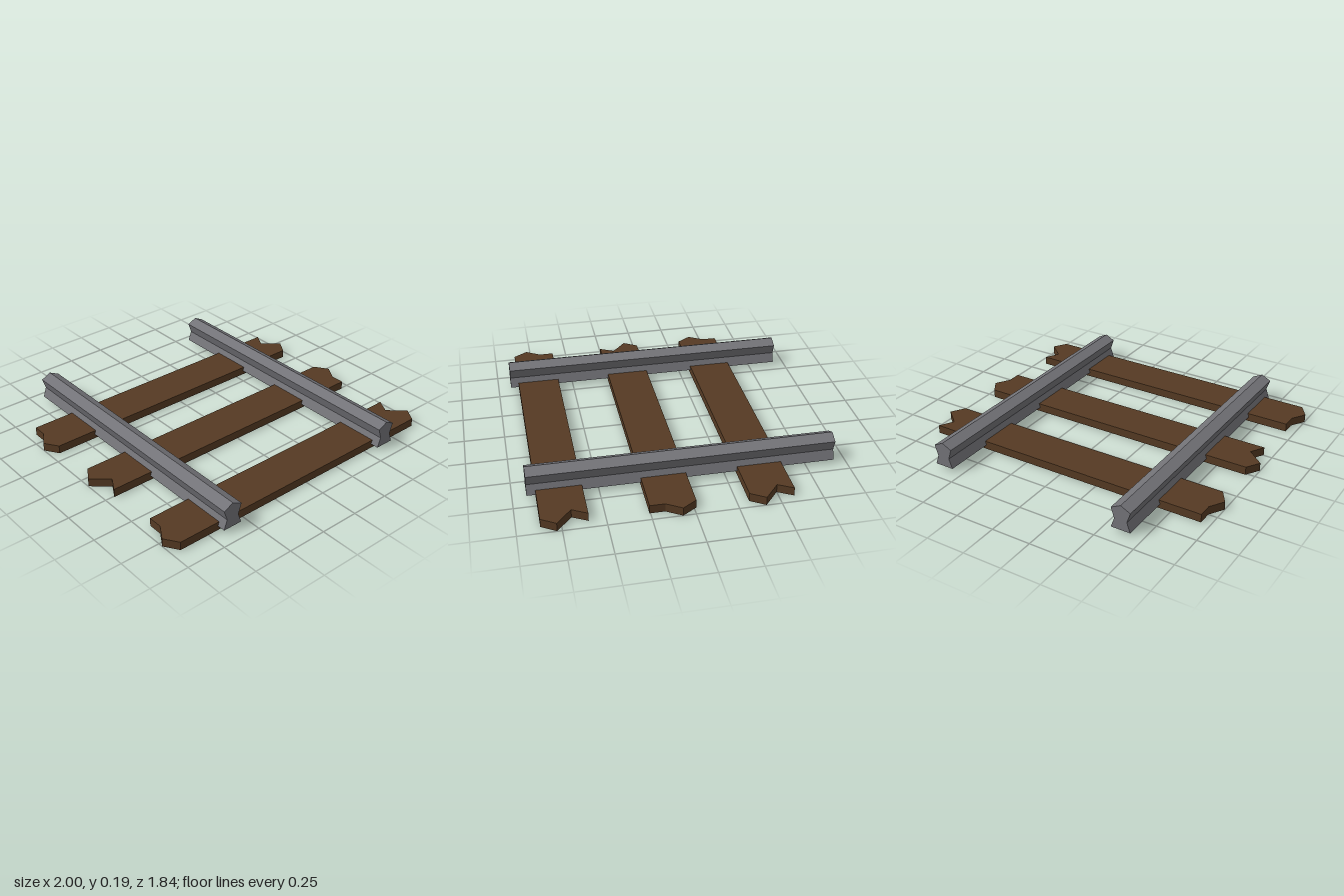
import * as THREE from 'three';

const wood = new THREE.MeshStandardMaterial({ color: 0x553a23 });
wood.name = 'brown wood';
const steel = new THREE.MeshStandardMaterial({ color: 0x737378 });
steel.name = 'grey steel';

const extrude = (points, depth) => new THREE.ExtrudeGeometry(
  new THREE.Shape(points.map(([x, y]) => new THREE.Vector2(x, y))),
  { depth, bevelEnabled: false });

export function createModel() {
  const model = new THREE.Group();
  model.name = 'railTrack';

  // Splintered plank outline seen from above, laid flat
  const plankGeometry = extrude([
    [-0.943, -0.134], [0.943, -0.134], [0.998, -0.047], [0.892, 0.044],
    [0.943, 0.134], [-0.943, 0.134], [-0.943, 0.044], [-1, -0.047],
  ], 0.053).rotateX(-Math.PI / 2);

  // Three sleepers, the middle one turned half round
  [['backSleeper', -0.455, 0], ['middleSleeper', 0.122, Math.PI], ['frontSleeper', 0.732, 0]]
    .forEach(([name, z, turn]) => {
      const sleeper = new THREE.Mesh(plankGeometry, wood);
      sleeper.name = name;
      sleeper.position.z = z;
      sleeper.rotation.y = turn;
      model.add(sleeper);
    });

  // Rails with a peaked head, narrow waist and wide foot
  const railLength = 1.836;
  const railGeometry = extrude([
    [-0.062, 0.028], [0.062, 0.028], [0.04, 0.09], [0.062, 0.156],
    [0, 0.187], [-0.062, 0.156], [-0.04, 0.09],
  ], railLength).translate(0, 0, -railLength / 2);
  [['leftRail', 0.62], ['rightRail', -0.62]].forEach(([name, x]) => {
    const rail = new THREE.Mesh(railGeometry, steel);
    rail.name = name;
    rail.position.x = x;
    model.add(rail);
  });

  return model;
}
